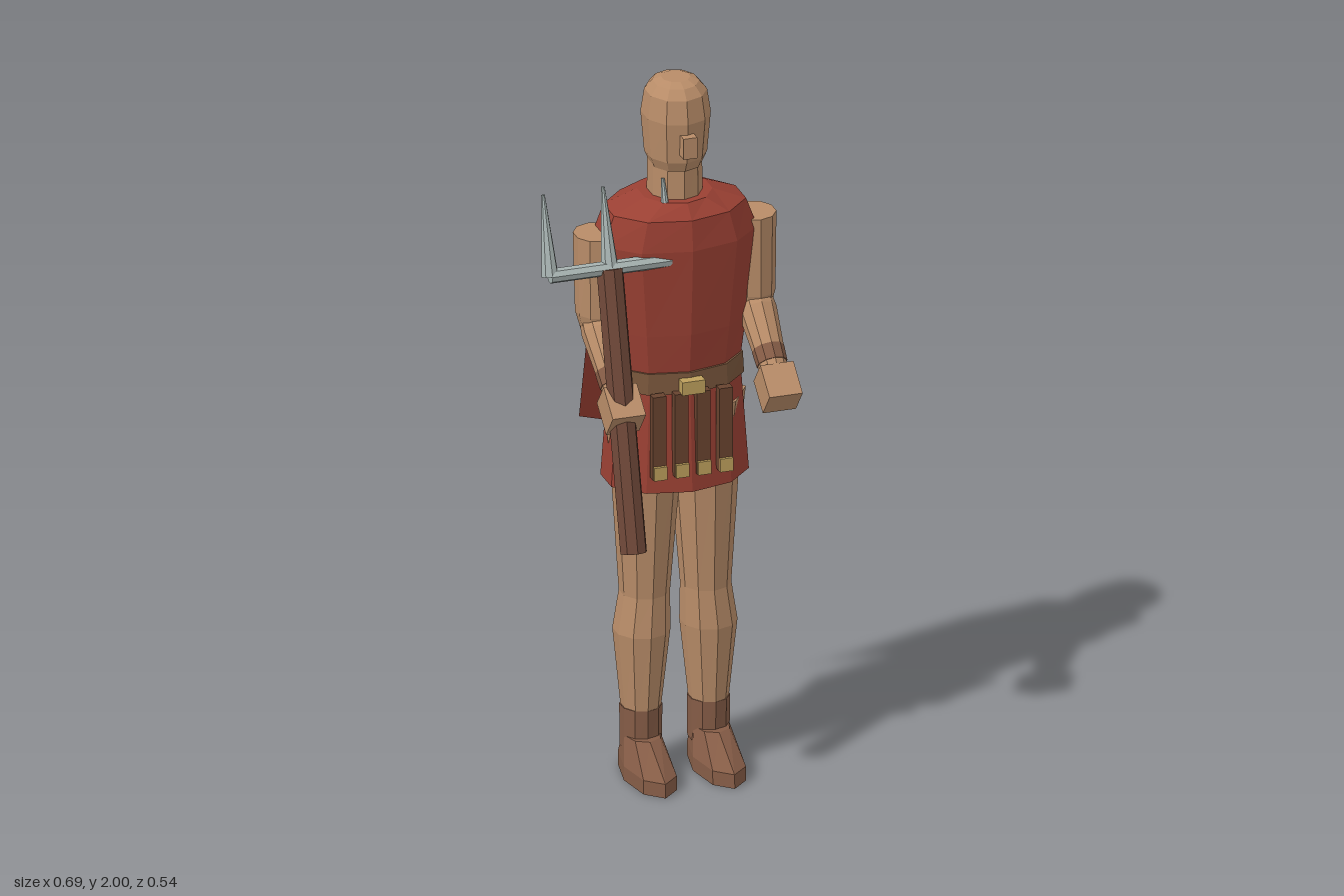
import * as THREE from 'three';

const mat = (name, color) => {
  const m = new THREE.MeshStandardMaterial({ color, flatShading: true });
  m.name = name;
  return m;
};

export function createModel() {
  const skin = mat('skin', 0xb88c68);
  const cloth = mat('red cloth', 0x9a4033);
  const leather = mat('boot leather', 0x855c46);
  const beltMat = mat('belt leather', 0x79563c);
  const strapMat = mat('strap leather', 0x68432f);
  const wood = mat('wood', 0x6e4738);
  const steel = mat('steel', 0xa6b2b0);
  const brass = mat('brass', 0xbd9f5c);
  const capeMat = mat('cape cloth', 0x913a2f);
  capeMat.side = THREE.DoubleSide;

  const root = new THREE.Group();
  root.name = 'warrior';
  const body = new THREE.Group();
  body.name = 'body';
  body.position.set(0.066, 0, -0.08);
  root.add(body);

  const add = (parent, name, geo, material, x = 0, y = 0, z = 0) => {
    const m = new THREE.Mesh(geo, material);
    m.name = name;
    m.position.set(x, y, z);
    parent.add(m);
    return m;
  };

  // Closed solid through elliptical rings [y, rx, rz, cx, cz], bottom to top
  const loft = (rings, n = 10) => {
    const pos = [], idx = [];
    rings.forEach(([y, rx, rz, cx = 0, cz = 0]) => {
      for (let j = 0; j < n; j++) {
        const a = (j / n) * Math.PI * 2;
        pos.push(cx + Math.sin(a) * rx, y, cz + Math.cos(a) * rz);
      }
    });
    for (let i = 0; i < rings.length - 1; i++)
      for (let j = 0; j < n; j++) {
        const k = (j + 1) % n, a = i * n + j, b = i * n + k, c = a + n, d = b + n;
        idx.push(a, b, d, a, d, c);
      }
    const t = (rings.length - 1) * n;
    for (let j = 1; j < n - 1; j++) {
      idx.push(0, j + 1, j);
      idx.push(t, t + j, t + j + 1);
    }
    const g = new THREE.BufferGeometry();
    g.setAttribute('position', new THREE.Float32BufferAttribute(pos, 3));
    g.setIndex(idx);
    const flat = g.toNonIndexed();
    flat.computeVertexNormals();
    return flat;
  };

  // Head, nose and neck
  add(body, 'head', loft([
    [1.755, 0.07, 0.078, 0, 0.008], [1.785, 0.083, 0.092, 0, 0.008], [1.9, 0.0926, 0.103, 0, 0.008],
    [1.965, 0.083, 0.092, 0, 0.008], [1.99, 0.062, 0.07, 0, 0.008], [2.0, 0.039, 0.04, 0, 0.008]]), skin);
  add(body, 'nose', new THREE.BoxGeometry(0.038, 0.06, 0.04), skin, 0, 1.84, 0.11);
  add(body, 'neck', loft([[1.62, 0.074, 0.082], [1.79, 0.072, 0.08]]), skin);

  // Tunic, belt, hips and skirt
  add(body, 'tunic', loft([
    [1.17, 0.18, 0.122], [1.3, 0.197, 0.136], [1.55, 0.228, 0.152],
    [1.635, 0.195, 0.142], [1.672, 0.1, 0.105]]), cloth);
  add(body, 'belt', loft([[1.13, 0.19, 0.134], [1.19, 0.187, 0.131]]), beltMat);
  add(body, 'buckle', new THREE.BoxGeometry(0.064, 0.038, 0.03), brass, 0, 1.157, 0.143);
  add(body, 'hips', loft([[0.87, 0.165, 0.105], [0.96, 0.187, 0.115], [1.068, 0.2, 0.124]], 8), skin);
  add(body, 'skirt', loft([[0.85, 0.203, 0.146], [1.14, 0.182, 0.127]]), cloth);

  // Hanging straps with brass ends
  for (const x of [-0.093, -0.031, 0.031, 0.093]) {
    add(body, 'strap', new THREE.BoxGeometry(0.038, 0.24, 0.026), strapMat, x, 1.02, 0.137);
    add(body, 'strapEnd', new THREE.BoxGeometry(0.036, 0.038, 0.009), brass, x, 0.92, 0.154);
  }

  for (const s of [1, -1]) {
    const side = s > 0 ? 'left' : 'right';

    // Leg and boot
    add(body, side + 'Leg', loft([
      [0.17, 0.052, 0.058, s * 0.095, 0], [0.41, 0.077, 0.081, s * 0.094, 0.002],
      [0.52, 0.068, 0.071, s * 0.086, 0.003], [0.9, 0.095, 0.097, s * 0.082, 0.003]]), skin);
    add(body, side + 'BootShaft', loft([
      [0.07, 0.056, 0.058, s * 0.095, 0], [0.19, 0.057, 0.061, s * 0.095, 0]]), leather);
    add(body, side + 'Boot', loft([
      [0, 0.066, 0.15, s * 0.097, 0.06], [0.04, 0.066, 0.148, s * 0.097, 0.06],
      [0.11, 0.05, 0.068, s * 0.097, 0.015]], 8), leather);

    // Arm bent forward at the elbow
    const arm = new THREE.Group();
    arm.name = side + 'Arm';
    arm.position.x = s * 0.22;
    body.add(arm);
    add(arm, 'upperArm', loft([
      [1.29, 0.042, 0.042, 0, 0.01], [1.35, 0.058, 0.06, 0, 0.005], [1.575, 0.062, 0.066]]), skin);
    const fore = new THREE.Group();
    fore.name = 'forearmAndHand';
    fore.position.set(0, 1.335, 0);
    fore.rotation.x = 0.73;
    arm.add(fore);
    // local +z runs from elbow to hand
    const lower = add(fore, 'forearm', loft([
      [-0.02, 0.045, 0.042], [0.05, 0.052, 0.052], [0.23, 0.038, 0.038]]), skin);
    const cuff = add(fore, 'wristBand', loft([[0.165, 0.044, 0.044], [0.21, 0.042, 0.042]]), leather);
    lower.rotation.x = cuff.rotation.x = Math.PI / 2;
    const hand = add(arm, 'hand', new THREE.BoxGeometry(0.093, 0.088, 0.098), skin, 0, 1.148, 0.206);
    hand.rotation.x = 0.68;
  }

  // Trident: shaft, crossbar and three prongs
  const trident = new THREE.Group();
  trident.name = 'trident';
  trident.position.set(-0.156, 1.52, 0.036);
  trident.rotation.x = -0.257;
  root.add(trident);
  add(trident, 'shaft', new THREE.CylinderGeometry(0.037, 0.037, 0.77, 8), wood, 0, -0.385, 0);
  const bar = add(trident, 'crossbar', new THREE.CylinderGeometry(0.025, 0.025, 0.336, 8), steel);
  bar.rotation.z = Math.PI / 2;
  bar.scale.x = 0.8;
  for (const x of [-0.168, 0, 0.168])
    add(trident, 'prong', new THREE.CylinderGeometry(0.005, 0.024, 0.22, 8), steel, x, 0.11, 0);

  // Cape sheet: rows from shoulders to an uneven hem
  const rows = [
    [[-0.10, 1.60, -0.165], [-0.02, 1.64, -0.2], [0.066, 1.65, -0.21], [0.15, 1.64, -0.2], [0.23, 1.60, -0.165]],
    [[-0.125, 1.46, -0.18], [-0.03, 1.5, -0.232], [0.066, 1.5, -0.242], [0.16, 1.5, -0.23], [0.245, 1.46, -0.175]],
    [[-0.135, 1.2, -0.215], [-0.032, 1.22, -0.258], [0.068, 1.2, -0.25], [0.165, 1.2, -0.242], [0.256, 1.2, -0.198]],
    [[-0.146, 0.97, -0.245], [-0.034, 0.93, -0.268], [0.07, 0.95, -0.258], [0.17, 0.99, -0.248], [0.267, 1.02, -0.215]]];
  const capeIdx = [];
  for (let i = 0; i < 3; i++)
    for (let j = 0; j < 4; j++) {
      const a = i * 5 + j;
      capeIdx.push(a, a + 1, a + 6, a, a + 6, a + 5);
    }
  const sheet = new THREE.BufferGeometry();
  sheet.setAttribute('position', new THREE.Float32BufferAttribute(rows.flat(2), 3));
  sheet.setIndex(capeIdx);
  const capeGeo = sheet.toNonIndexed();
  capeGeo.computeVertexNormals();
  add(root, 'cape', capeGeo, capeMat);

  return root;
}
